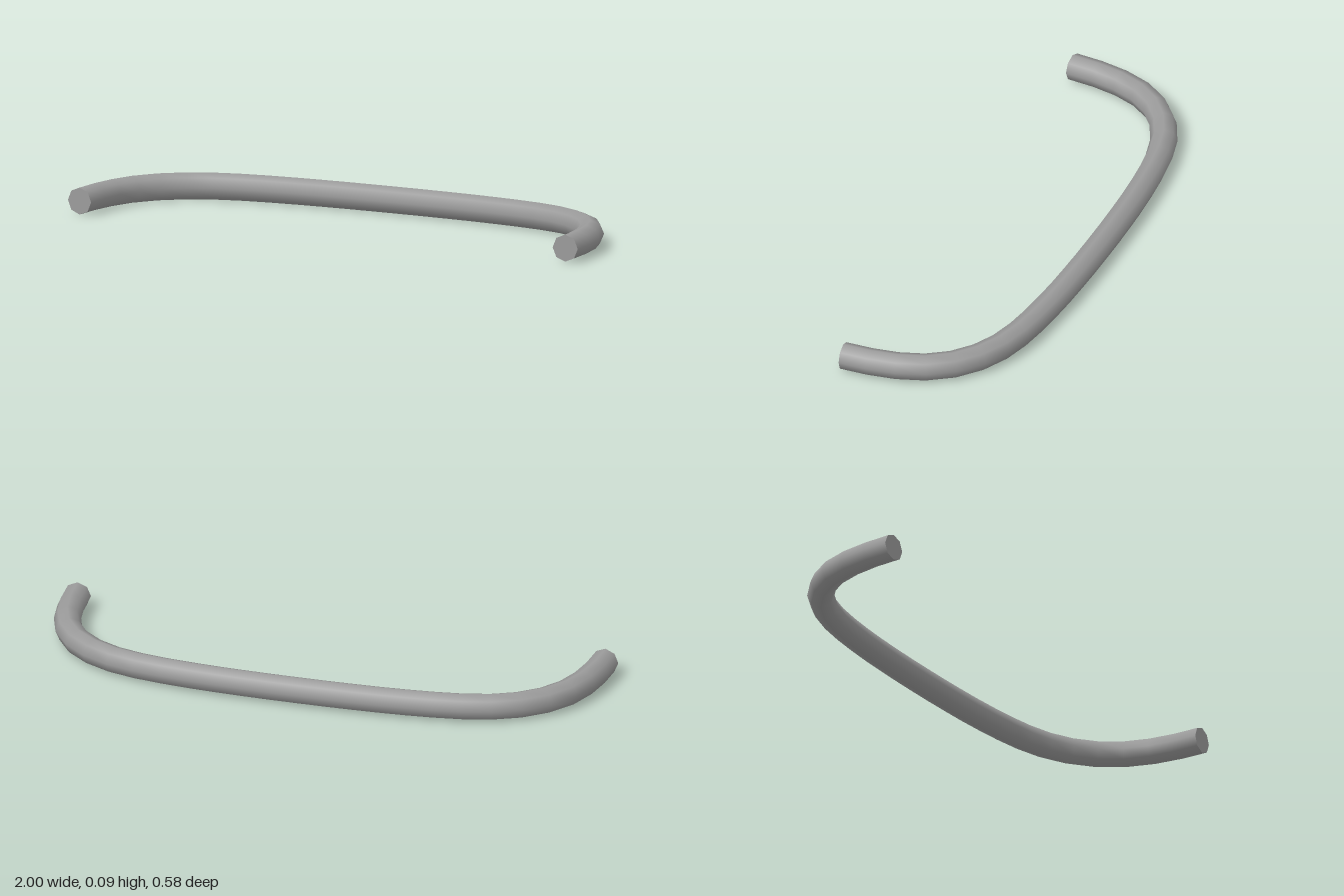
import * as THREE from 'three';

export function createModel() {
  const group = new THREE.Group();
  group.name = 'curvedHandle';
  const material = new THREE.MeshStandardMaterial({ color: 0x9b9b9b });
  const radius = 0.0475, sides = 8, height = 0.049;

  // Centre line: half of the bow as [x, z], mirrored about the middle
  const half = [[0.953, 0.288], [0.942, 0.145], [0.904, 0.013], [0.836, -0.086],
    [0.73, -0.163], [0.595, -0.207], [0.39, -0.233], [0.18, -0.243]];
  const outline = [
    ...half.map(([x, z]) => [-x, z]),
    [0, -0.245],
    ...half.slice().reverse(),
  ];
  const path = new THREE.CatmullRomCurve3(outline.map(([x, z]) => new THREE.Vector3(x, height, z)));

  // Bent eight-sided bar
  const bar = new THREE.Mesh(new THREE.TubeGeometry(path, 26, radius, sides), material);
  bar.name = 'bar';
  group.add(bar);

  // Flat end caps facing out along the bar
  for (const [t, sign, name] of [[0, -1, 'rightEndCap'], [1, 1, 'leftEndCap']]) {
    const cap = new THREE.Mesh(new THREE.CircleGeometry(radius, sides), material);
    cap.name = name;
    cap.position.copy(path.getPoint(t));
    cap.lookAt(path.getTangent(t).multiplyScalar(sign).add(cap.position));
    group.add(cap);
  }
  return group;
}
